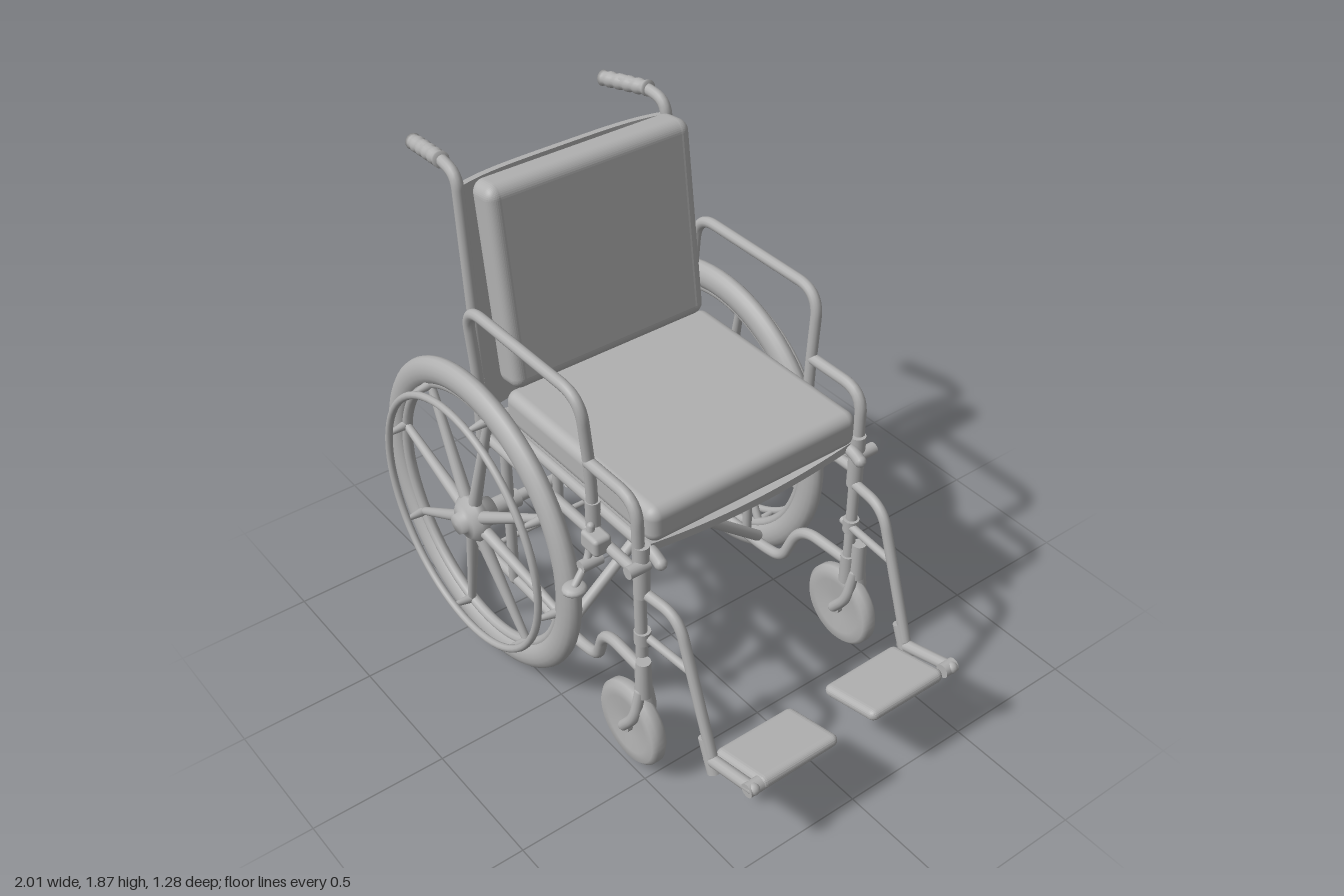
import * as THREE from 'three';
import { mergeGeometries } from 'three/addons/utils/BufferGeometryUtils.js';
import { RoundedBoxGeometry } from 'three/addons/geometries/RoundedBoxGeometry.js';

const grey = new THREE.MeshStandardMaterial({ color: 0xb0b0b0 });
grey.name = 'plain grey';
const greySheet = grey;
const V = (x, y, z) => new THREE.Vector3(x, y, z);

function add(parent, name, geometry) {
  const mesh = new THREE.Mesh(geometry, grey);
  mesh.name = name;
  parent.add(mesh);
  return mesh;
}

// Bent tube through corner points, with filleted corners and round ends
function tube(parent, name, points, r, fillet = 0.08) {
  const pts = points.map(p => V(...p));
  const path = new THREE.CurvePath();
  let from = pts[0];
  for (let i = 1; i < pts.length - 1; i++) {
    const a = pts[i - 1], b = pts[i], c = pts[i + 1];
    const f = Math.min(fillet, a.distanceTo(b) * 0.48, b.distanceTo(c) * 0.48);
    const p = b.clone().add(a.clone().sub(b).setLength(f));
    const q = b.clone().add(c.clone().sub(b).setLength(f));
    path.add(new THREE.LineCurve3(from, p));
    path.add(new THREE.QuadraticBezierCurve3(p, b, q));
    from = q;
  }
  const last = pts[pts.length - 1];
  path.add(new THREE.LineCurve3(from, last));
  const segments = pts.length > 2 ? 24 * (pts.length - 1) : 1;
  const parts = [new THREE.TubeGeometry(path, segments, r, 12)];
  for (const e of [pts[0], last]) {
    parts.push(new THREE.SphereGeometry(r, 12, 8).translate(e.x, e.y, e.z));
  }
  return add(parent, name, mergeGeometries(parts));
}

// Straight round bar with a radius at each end
function bar(parent, name, a, b, ra, rb = ra) {
  const p = V(...a), q = V(...b), d = q.clone().sub(p);
  const mesh = add(parent, name, new THREE.CylinderGeometry(rb, ra, d.length(), 16));
  mesh.position.copy(p).add(q).multiplyScalar(0.5);
  mesh.quaternion.setFromUnitVectors(V(0, 1, 0), d.normalize());
  return mesh;
}

// Lathe whose axis points along z
function latheZ(parent, name, profile) {
  const g = new THREE.LatheGeometry(profile.map(p => new THREE.Vector2(...p)), 40);
  return add(parent, name, g.rotateX(Math.PI / 2));
}

function bend(geometry, rule) {
  const p = geometry.attributes.position, v = V(0, 0, 0);
  for (let i = 0; i < p.count; i++) {
    v.fromBufferAttribute(p, i);
    rule(v);
    p.setXYZ(i, v.x, v.y, v.z);
  }
  geometry.computeVertexNormals();
  return geometry;
}

function driveWheel(parent, s) {
  const wheel = new THREE.Group();
  wheel.name = 'driveWheel';
  wheel.position.set(-0.405, 0.595, 0);
  parent.add(wheel);
  const tyre = add(wheel, 'tyre', new THREE.TorusGeometry(0.543, 0.052, 16, 72).scale(1, 1, 0.72));
  tyre.position.z = 0.535 * s;
  const rim = add(wheel, 'rim', new THREE.TorusGeometry(0.495, 0.02, 10, 72));
  rim.position.z = 0.535 * s;
  const handRim = add(wheel, 'handRim', new THREE.TorusGeometry(0.482, 0.014, 10, 72));
  handRim.position.z = 0.62 * s;
  const hub = latheZ(wheel, 'hub', [[0, -0.06], [0.05, -0.06], [0.055, -0.02], [0.085, 0],
    [0.088, 0.03], [0.065, 0.055], [0.04, 0.06], [0.036, 0.085], [0, 0.088]]);
  hub.position.z = 0.55 * s;
  if (s < 0) hub.rotation.y = Math.PI;
  for (let i = 0; i < 8; i++) {
    const a = -0.227 + i * Math.PI / 4, c = Math.cos(a), n = Math.sin(a);
    bar(wheel, 'spoke', [0.06 * c, 0.06 * n, 0.565 * s], [0.49 * c, 0.49 * n, 0.54 * s], 0.024, 0.015);
    bar(wheel, 'handRimPeg', [0.492 * c, 0.492 * n, 0.545 * s], [0.482 * c, 0.482 * n, 0.62 * s], 0.018, 0.008);
  }
}

function caster(parent, s) {
  const wheel = latheZ(parent, 'casterWheel', [[0, -0.02], [0.05, -0.022], [0.11, -0.03], [0.145, -0.03],
    [0.16, -0.015], [0.16, 0.015], [0.145, 0.03], [0.11, 0.03], [0.05, 0.022], [0, 0.02]]);
  wheel.position.set(0.405, 0.19, 0.475 * s);
  bar(parent, 'casterStem', [0.467, 0.37, 0.475 * s], [0.467, 0.52, 0.475 * s], 0.031, 0.026);
  for (const d of [-0.037, 0.037]) {
    tube(parent, 'casterFork', [[0.467, 0.39, 0.475 * s + d * 0.4], [0.462, 0.27, 0.475 * s + d],
      [0.40, 0.19, 0.475 * s + d]], 0.02, 0.06);
  }
  bar(parent, 'casterAxle', [0.405, 0.19, 0.435 * s], [0.405, 0.19, 0.515 * s], 0.025);
}

function sideFrame(parent, s) {
  // Back post, push handle and ribbed grip
  tube(parent, 'backPost', [[-0.515, 0.94, 0.42 * s], [-0.575, 1.83, 0.42 * s],
    [-0.68, 1.845, 0.415 * s], [-0.80, 1.83, 0.40 * s]], 0.021, 0.1);
  const ribs = [[0, 0]];
  for (let i = 0; i <= 20; i++) ribs.push([i % 4 < 2 ? 0.029 : 0.025, i * 0.0118]);
  ribs.push([0, 0.236]);
  const grip = add(parent, 'grip', new THREE.LatheGeometry(ribs.map(p => new THREE.Vector2(...p)), 16));
  grip.position.set(-0.665, 1.845, 0.418 * s);
  grip.quaternion.setFromUnitVectors(V(0, 1, 0), V(-0.232, -0.04, -0.03 * s).normalize());

  // Armrest hoop and lower front hoop
  tube(parent, 'armrest', [[-0.477, 0.84, 0.455 * s], [-0.477, 1.12, 0.46 * s], [-0.475, 1.412, 0.485 * s],
    [0.172, 1.412, 0.485 * s], [0.178, 1.12, 0.46 * s], [0.178, 0.93, 0.455 * s]], 0.02, 0.1);
  tube(parent, 'frontPost', [[0.178, 1.16, 0.465 * s], [0.43, 1.16, 0.465 * s], [0.437, 0.36, 0.455 * s]], 0.021, 0.09);
  bar(parent, 'armSocket', [-0.477, 0.82, 0.455 * s], [-0.477, 1.0, 0.455 * s], 0.027);
  bar(parent, 'armSocket', [0.178, 0.90, 0.455 * s], [0.178, 1.0, 0.455 * s], 0.026);
  bar(parent, 'frontSocket', [0.437, 0.78, 0.455 * s], [0.437, 0.99, 0.455 * s], 0.028);
  bar(parent, 'frontSocket', [0.437, 0.34, 0.455 * s], [0.437, 0.46, 0.455 * s], 0.028);

  // Rails and uprights
  tube(parent, 'seatRail', [[-0.5, 0.95, 0.42 * s], [0.45, 0.95, 0.42 * s], [0.49, 0.93, 0.42 * s]], 0.022, 0.03);
  tube(parent, 'upperRail', [[-0.48, 0.85, 0.44 * s], [0.437, 0.85, 0.45 * s]], 0.02);
  tube(parent, 'lowerRail', [[0.437, 0.435, 0.45 * s], [0.2, 0.435, 0.44 * s], [0.13, 0.25, 0.42 * s],
    [0.03, 0.23, 0.42 * s], [-0.64, 0.23, 0.41 * s]], 0.021, 0.09);
  bar(parent, 'railTip', [-0.65, 0.23, 0.41 * s], [-0.59, 0.23, 0.41 * s], 0.026);
  tube(parent, 'middlePost', [[-0.075, 0.23, 0.42 * s], [-0.075, 0.95, 0.42 * s]], 0.018);
  tube(parent, 'axlePost', [[-0.4, 0.23, 0.42 * s], [-0.4, 0.95, 0.42 * s]], 0.02);
  bar(parent, 'axleSocket', [-0.405, 0.595, 0.38 * s], [-0.405, 0.595, 0.51 * s], 0.035);

  // Wheel brake
  const clamp = add(parent, 'brakeClamp', new RoundedBoxGeometry(0.09, 0.07, 0.07, 2, 0.015));
  clamp.position.set(0.22, 0.87, 0.475 * s);
  tube(parent, 'brakeLever', [[0.2, 0.92, 0.48 * s], [0.21, 0.8, 0.5 * s], [0.235, 0.74, 0.575 * s]], 0.014, 0.04);
  const pad = add(parent, 'brakePad', new THREE.SphereGeometry(0.04, 16, 10).scale(1, 0.5, 1.1));
  pad.position.set(0.232, 0.725, 0.575 * s);
  bar(parent, 'brakePivot', [0.22, 0.79, 0.46 * s], [0.22, 0.79, 0.54 * s], 0.022);
  bar(parent, 'hangerLatch', [0.45, 0.915, 0.44 * s], [0.45, 0.915, 0.52 * s], 0.022);
}

function footrest(parent, s) {
  tube(parent, 'footrestHanger', [[0.437, 0.79, 0.45 * s], [0.6, 0.79, 0.435 * s], [0.77, 0.31, 0.43 * s]], 0.019, 0.09);
  bar(parent, 'hangerLink', [0.4, 0.6, 0.45 * s], [0.66, 0.6, 0.432 * s], 0.015);
  bar(parent, 'hangerCollar', [0.437, 0.575, 0.455 * s], [0.437, 0.625, 0.455 * s], 0.029);
  bar(parent, 'footplateSocket', [0.735, 0.365, 0.43 * s], [0.785, 0.24, 0.43 * s], 0.024);
  tube(parent, 'footplateHinge', [[0.76, 0.285, 0.43 * s], [0.985, 0.345, 0.435 * s]], 0.022);
  bar(parent, 'hingeEnd', [0.975, 0.34, 0.40 * s], [0.975, 0.34, 0.455 * s], 0.026);
  // Plate thins toward its inner edge
  const plate = add(parent, 'footplate', bend(new RoundedBoxGeometry(0.25, 0.055, 0.33, 3, 0.025),
    v => { v.y *= 0.85 + 0.35 * v.z * s; }));
  plate.position.set(0.868, 0.3, 0.237 * s);
  plate.rotation.z = 0.25;
}

export function createModel() {
  const chair = new THREE.Group();
  chair.name = 'wheelchair';

  // Seat cushion and the sling sagging below it
  const seat = add(chair, 'seatCushion', new RoundedBoxGeometry(0.83, 0.135, 0.86, 4, 0.04));
  seat.position.set(0.045, 1.042, 0);
  const seatSling = add(chair, 'seatSling', bend(new THREE.BoxGeometry(0.88, 0.03, 0.84, 1, 1, 24),
    v => { v.y -= 0.035 * (1 - (v.z / 0.42) ** 2); }));
  seatSling.position.set(0.0, 0.962, 0);

  // Back cushion, hollowed and leaning back
  const back = add(chair, 'backCushion', bend(new RoundedBoxGeometry(0.135, 0.74, 0.81, 6, 0.045),
    v => {
      v.x += -0.04 * (1 - (v.z / 0.405) ** 2) + (v.y < 0 ? 0.01 : 0);
    }));
  back.position.set(-0.43, 1.465, 0);
  back.rotation.z = 0.115;

  // Back sling bowed between the posts
  const backSling = add(chair, 'backSling', bend(new THREE.BoxGeometry(0.025, 0.85, 0.84, 1, 1, 24),
    v => { v.x -= 0.04 * (1 - (v.z / 0.42) ** 4); }));
  backSling.position.set(-0.54, 1.365, 0);
  backSling.rotation.z = 0.085;

  for (const s of [1, -1]) {
    driveWheel(chair, s);
    caster(chair, s);
    sideFrame(chair, s);
    footrest(chair, s);
    // Folding cross brace
    bar(chair, 'crossBrace', [-0.03 + 0.02 * s, 0.26, -0.42 * s], [-0.03 + 0.02 * s, 0.94, 0.42 * s], 0.021);
  }
  bar(chair, 'axleBar', [-0.405, 0.595, -0.42], [-0.405, 0.595, 0.42], 0.022);
  bar(chair, 'rearTieBar', [-0.6, 0.23, -0.41], [-0.6, 0.23, 0.41], 0.011);
  bar(chair, 'bracePivot', [-0.07, 0.6, 0], [0.01, 0.6, 0], 0.018);
  return chair;
}
